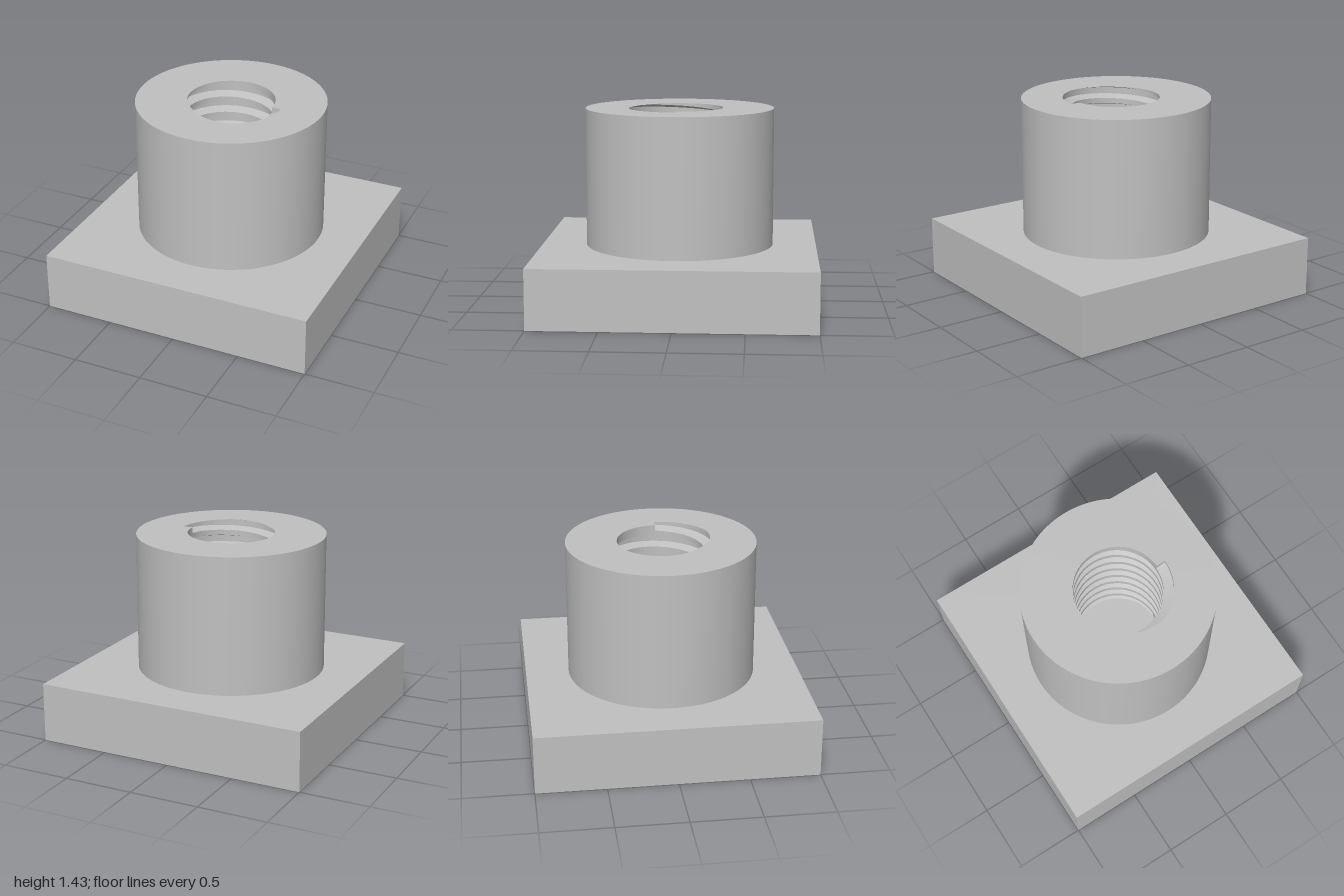
import * as THREE from 'three';
import { toCreasedNormals } from 'three/addons/utils/BufferGeometryUtils.js';

const TOP = 1.43, FLOOR = 0.43, OUTER = 0.685;
const BORE = 0.315, ROOT = 0.385, INNER = 0.285;
const TURNS = 8, PITCH = (TOP - FLOOR) / TURNS, SEGMENTS = 96;
// Half heights of the trapezoid groove at its root, at the bore and at its inner end
const H_ROOT = PITCH * 67 / 360, H_BORE = PITCH * 125 / 360, H_INNER = PITCH * 150 / 360;

const lerp = THREE.MathUtils.lerp;

// Section of the boss at turn fraction t: outer wall, rim, threaded bore, floor
function section(t) {
  const rise = PITCH * t;
  const f = THREE.MathUtils.clamp((rise - H_ROOT) / (H_BORE - H_ROOT), 0, 1);
  const rimRadius = lerp(ROOT, BORE, f);
  const pts = [[OUTER, FLOOR], [OUTER, TOP], [rimRadius, TOP]];
  const add = (r, y) => pts.push(y > TOP ? [rimRadius, TOP] : [r, y]);
  let centre;
  for (let k = 0; k < TURNS; k++) {
    centre = TOP - rise - k * PITCH;
    add(BORE, centre + H_BORE);
    add(ROOT, centre + H_ROOT);
    add(ROOT, centre - H_ROOT);
    add(BORE, centre - H_BORE);
  }
  // Where the groove starts it bites slightly into the floor
  const g = THREE.MathUtils.clamp((centre - FLOOR - H_BORE) / (H_INNER - H_BORE), 0, 1);
  const r = centre - H_BORE >= FLOOR ? BORE : lerp(BORE, INNER, g);
  const y = Math.min(FLOOR, centre - H_INNER);
  pts.push([r, y], [r, FLOOR], [0, FLOOR]);
  return pts;
}

function bossGeometry() {
  const pos = [], index = [];
  let n = 0;
  for (let i = 0; i <= SEGMENTS; i++) {
    const a = i / SEGMENTS * Math.PI * 2;
    const pts = section(i / SEGMENTS);
    n = pts.length;
    for (const [r, y] of pts) pos.push(r * Math.cos(a), y, r * Math.sin(a));
  }
  for (let i = 0; i < SEGMENTS; i++) {
    for (let j = 0; j < n - 1; j++) {
      const a = i * n + j, b = a + 1, c = a + n, d = c + 1;
      index.push(a, b, c, c, b, d);
    }
  }
  const geo = new THREE.BufferGeometry();
  geo.setAttribute('position', new THREE.Float32BufferAttribute(pos, 3));
  geo.setIndex(index);
  return toCreasedNormals(geo, 0.6);
}

const flatShape = (pts) => new THREE.ShapeGeometry(
  new THREE.Shape(pts.map(([x, y]) => new THREE.Vector2(x, y))));

export function createModel() {
  const group = new THREE.Group();
  const grey = new THREE.MeshStandardMaterial({ color: 0xc0c0c0 });
  const greyTwoSided = grey.clone();
  grey.name = 'grey';
  greyTwoSided.name = 'grey two-sided';
  greyTwoSided.side = THREE.DoubleSide;
  const add = (name, geo, mat = grey) => {
    const mesh = new THREE.Mesh(geo, mat);
    mesh.name = name;
    group.add(mesh);
  };

  // Square base, open under the boss so the bore floor can sit in it
  const square = new THREE.Shape([[-1, -1], [1, -1], [1, 1], [-1, 1]].map(([x, y]) => new THREE.Vector2(x, y)));
  const opening = new THREE.Path();
  opening.absarc(0, 0, 0.6, 0, Math.PI * 2, true);
  square.holes.push(opening);
  add('base', new THREE.ExtrudeGeometry(square, { depth: FLOOR, bevelEnabled: false, curveSegments: 64 })
    .rotateX(-Math.PI / 2));
  add('baseUnderside', new THREE.CircleGeometry(0.6, 64).rotateX(Math.PI / 2));

  // Round boss with its internal thread
  add('threadedBoss', bossGeometry());

  // End faces where the thread groove stops at the rim and at the floor
  add('threadTopEnd', flatShape([[BORE, TOP], [ROOT, TOP], [ROOT, TOP - H_ROOT], [BORE, TOP - H_BORE]]), greyTwoSided);
  add('threadBottomEnd', flatShape([
    [BORE, FLOOR + H_BORE], [ROOT, FLOOR + H_ROOT], [ROOT, FLOOR - H_ROOT],
    [INNER, FLOOR - H_INNER], [INNER, FLOOR], [BORE, FLOOR],
  ]), greyTwoSided);
  return group;
}
